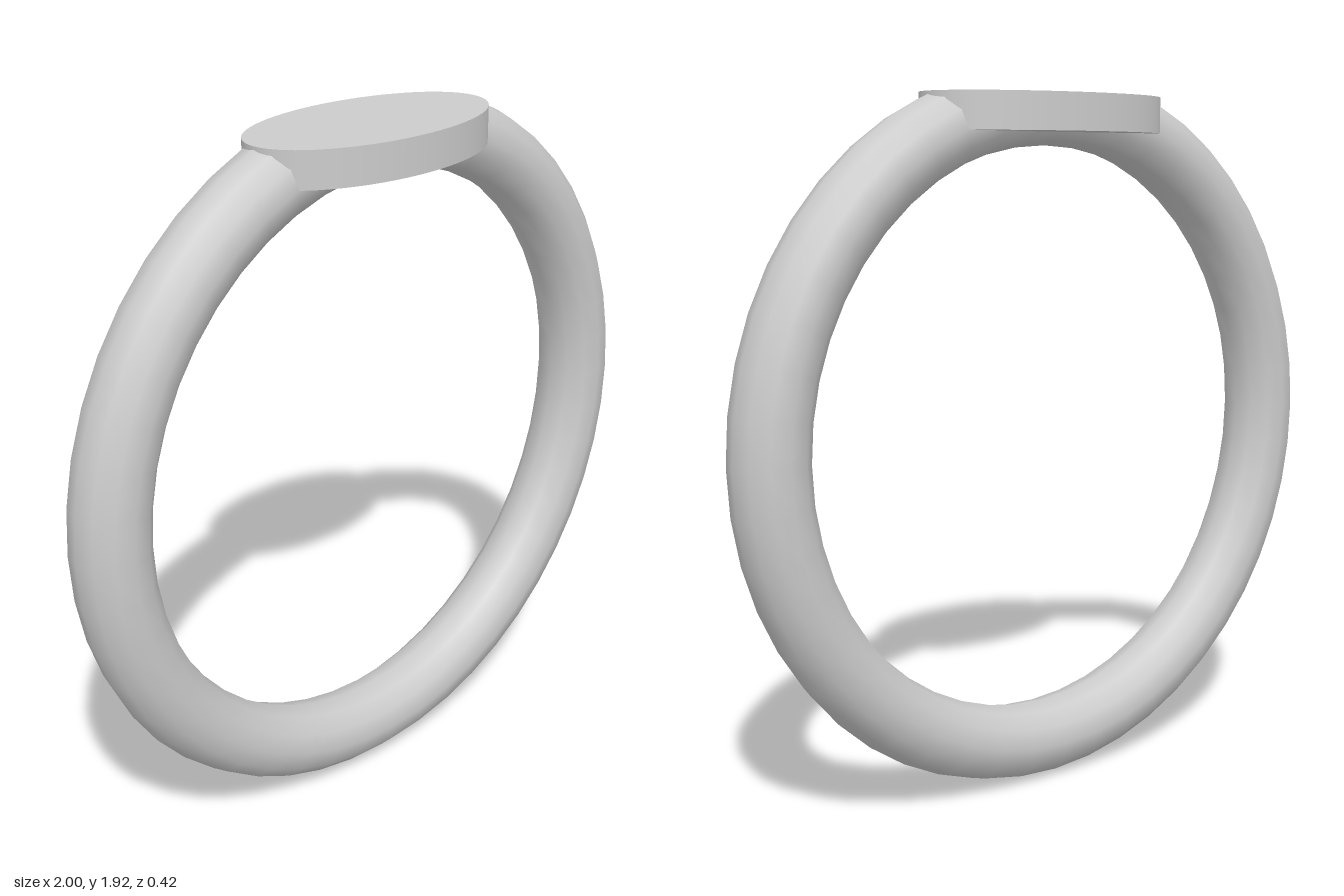
import * as THREE from 'three';

const TOP = 1.925; // height of the flat face

export function createModel() {
  const group = new THREE.Group();
  const material = new THREE.MeshStandardMaterial({ color: 0xcccccc });

  // Round band, its crown trimmed just below the flat face
  const bandGeometry = new THREE.TorusGeometry(0.895, 0.105, 12, 48);
  bandGeometry.translate(0, 1, 0);
  const position = bandGeometry.attributes.position;
  for (let i = 0; i < position.count; i++) {
    position.setY(i, Math.min(position.getY(i), TOP - 0.003));
  }
  const band = new THREE.Mesh(bandGeometry, material);
  band.name = 'band';
  group.add(band);

  // Oval signet plate
  const plateGeometry = new THREE.CylinderGeometry(1, 1, 0.1, 64);
  plateGeometry.scale(0.395, 1, 0.21);
  const plate = new THREE.Mesh(plateGeometry, material);
  plate.name = 'signetPlate';
  plate.position.y = TOP - 0.05;
  group.add(plate);

  return group;
}
